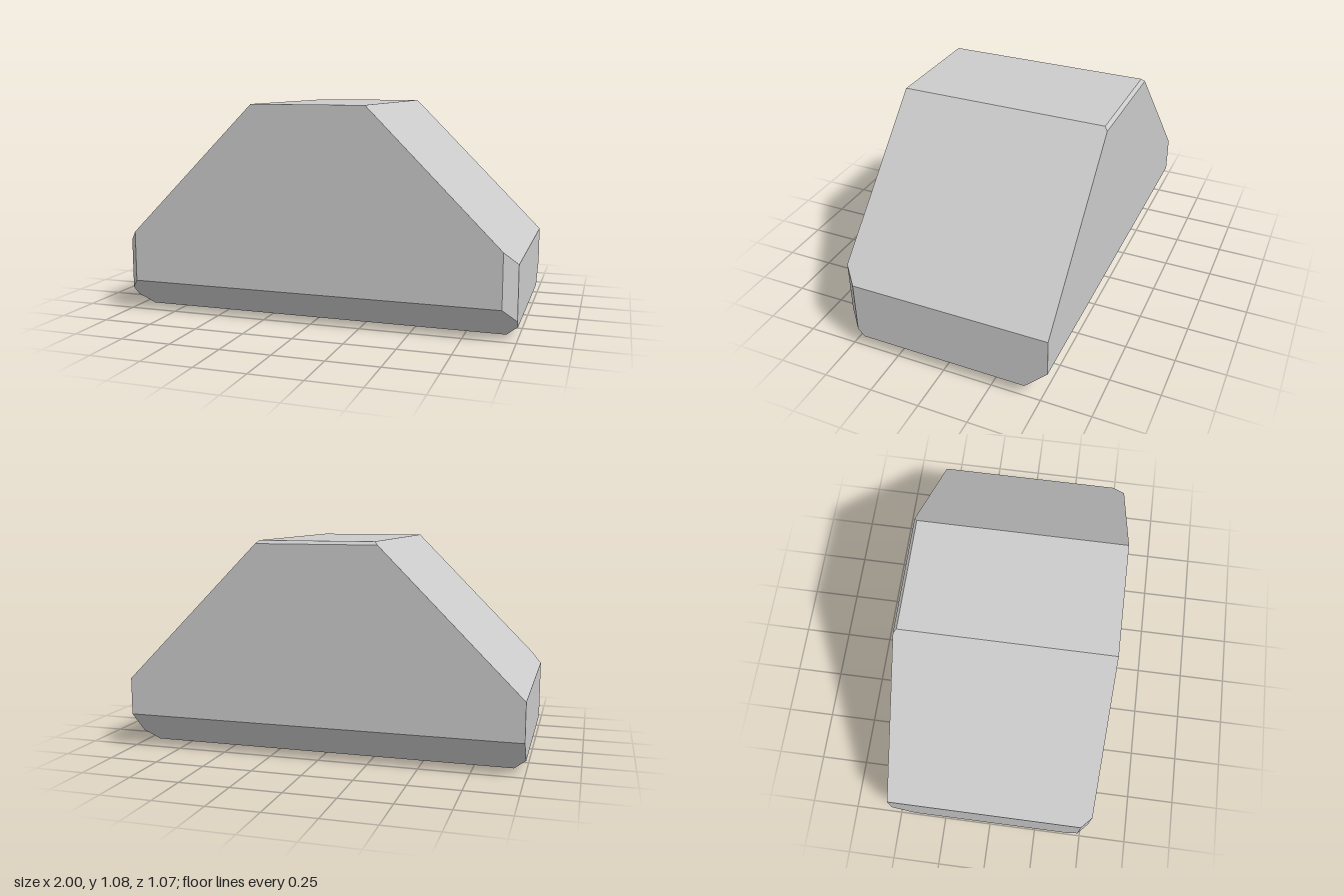
import * as THREE from 'three';
import { ConvexGeometry } from 'three/addons/geometries/ConvexGeometry.js';

// Corners of the solid bounded by planes [a, b, c, d], meaning ax + by + cz <= d
function cornersOf(planes) {
  const corners = [];
  const n = planes.map(([a, b, c]) => new THREE.Vector3(a, b, c));
  const d = planes.map((p) => p[3]);
  for (let i = 0; i < n.length; i++) {
    for (let j = i + 1; j < n.length; j++) {
      for (let k = j + 1; k < n.length; k++) {
        const jk = n[j].clone().cross(n[k]);
        const det = n[i].dot(jk);
        if (Math.abs(det) < 1e-6) continue;
        const p = jk.multiplyScalar(d[i])
          .addScaledVector(n[k].clone().cross(n[i]), d[j])
          .addScaledVector(n[i].clone().cross(n[j]), d[k])
          .divideScalar(det);
        const inside = n.every((m, q) => m.dot(p) <= d[q] + 1e-5);
        if (inside && !corners.some((o) => o.distanceTo(p) < 1e-4)) corners.push(p);
      }
    }
  }
  return corners;
}

export function createModel() {
  const group = new THREE.Group();
  group.name = 'chamferedBlock';

  const planes = [
    // Outer box
    [1, 0, 0, 1], [-1, 0, 0, 1],
    [0, 1, 0, 1.076], [0, -1, 0, 0],
    [0, 0, 1, 0.533], [0, 0, -1, 0.533],
    // Large sloping shoulders
    [1, 1, 0, 1.361], [-1, 1, 0, 1.365],
    // Bevels under the ends
    [1, -1, 0, 0.94], [-1, -1, 0, 0.94],
    // Bevels under the front and back
    [0, -1, 1, 0.375], [0, -1, -1, 0.36],
    // Upright front corner bevels
    [1, 0, 1, 1.469], [-1, 0, 1, 1.483],
    // Narrow bevel on the top back edge
    [0, 1, -1, 1.593],
  ];

  const block = new THREE.Mesh(
    new ConvexGeometry(cornersOf(planes)),
    new THREE.MeshStandardMaterial({ color: 0xcccccc, flatShading: true })
  );
  block.name = 'block';
  group.add(block);
  return group;
}
